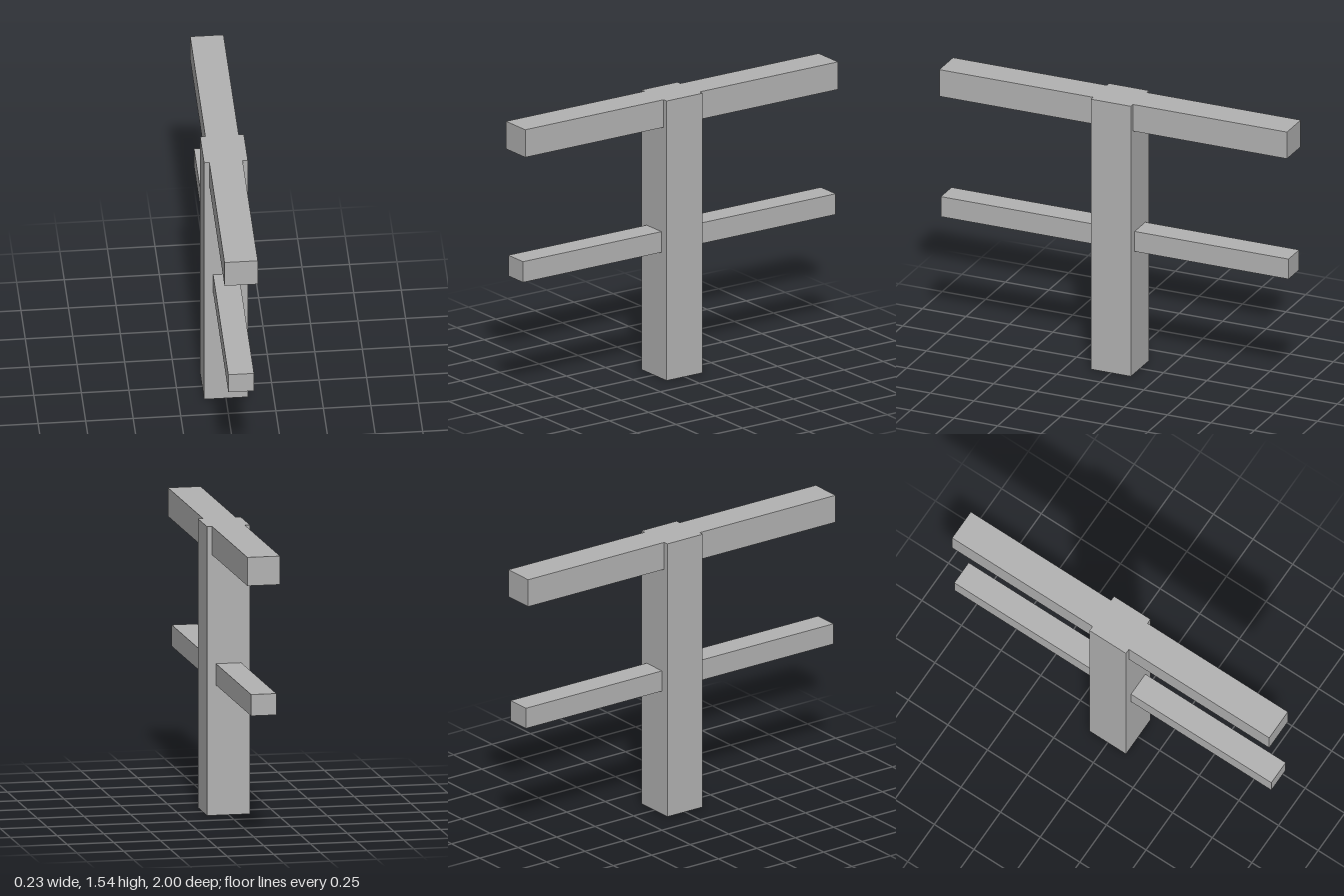
import * as THREE from 'three';

const POST = 0.23, HEIGHT = 1.54, HALF_SPAN = 1;

export function createModel() {
  const model = new THREE.Group();
  model.name = 'postWithRails';
  const grey = new THREE.MeshStandardMaterial({ color: 0xb2b2b2 });
  grey.name = 'grey';

  function box(name, w, h, d, x, y, z) {
    const mesh = new THREE.Mesh(new THREE.BoxGeometry(w, h, d), grey);
    mesh.name = name;
    mesh.position.set(x, y, z);
    model.add(mesh);
  }

  // Square upright post
  box('post', POST, HEIGHT, POST, 0, HEIGHT / 2, 0);

  // Rails butt against the front and back of the post; the top one is flush with it
  const rails = [
    { name: 'topRail', width: 0.175, bottom: 1.388, top: HEIGHT },
    { name: 'lowerRail', width: 0.135, bottom: 0.694, top: 0.808 },
  ];
  const length = HALF_SPAN - POST / 2;
  for (const { name, width, bottom, top } of rails) {
    for (const [end, side] of [['Front', 1], ['Back', -1]]) {
      box(name + end, width, top - bottom, length,
        0, (top + bottom) / 2, side * (POST / 2 + length / 2));
    }
  }
  return model;
}
